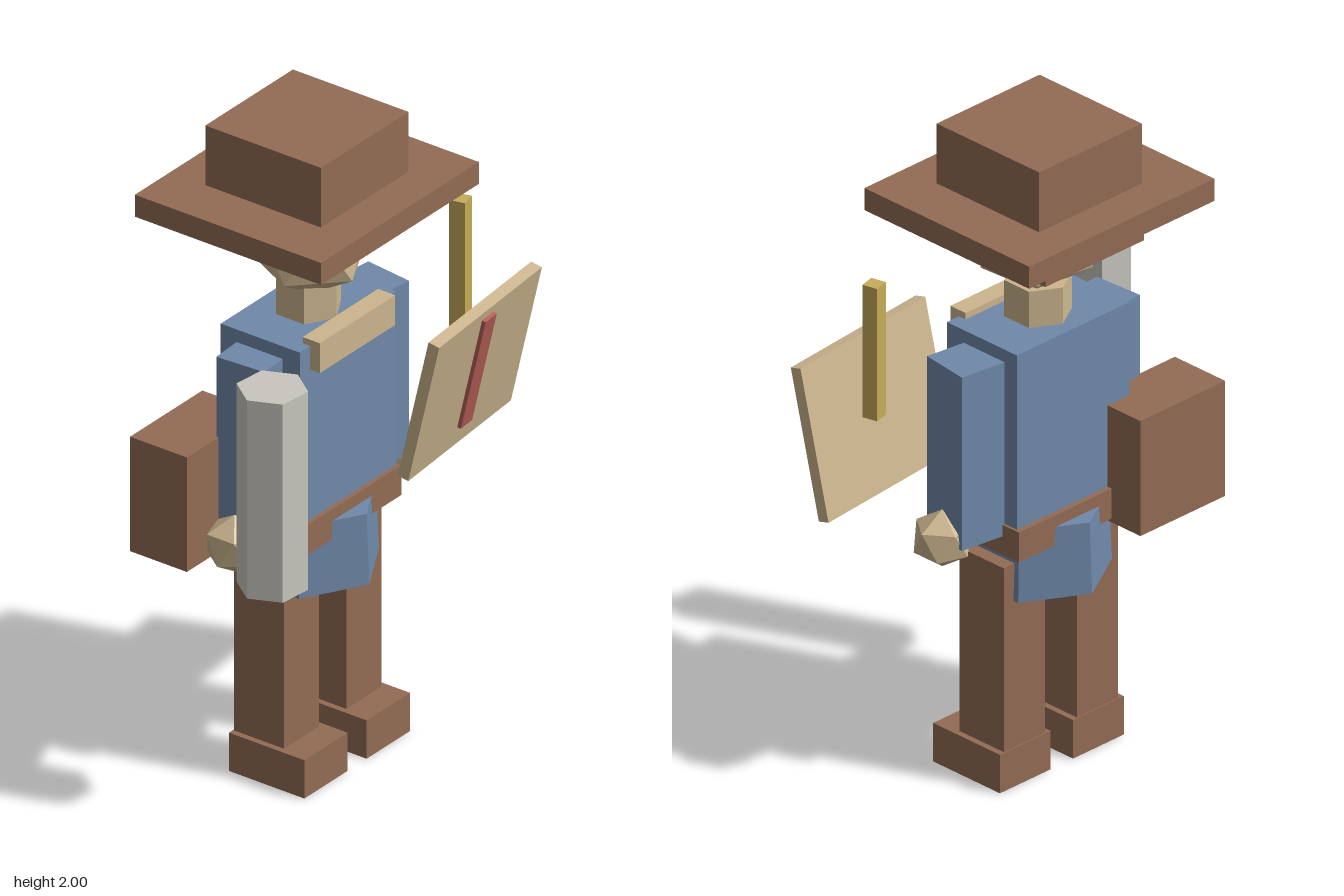
import * as THREE from 'three';

const mat = (name, color) => {
  const m = new THREE.MeshStandardMaterial({ color, flatShading: true });
  m.name = name;
  return m;
};

export function createModel() {
  const brown = mat('leather brown', 0x936c54);
  const blue = mat('cloth blue', 0x6f89aa);
  const tan = mat('tan', 0xcdb68f);
  const grey = mat('pale grey', 0xc8c6be);
  const yellow = mat('straw yellow', 0xc6ad5a);
  const red = mat('red', 0xb55f58);

  const model = new THREE.Group();
  model.name = 'figure';

  const add = (name, geometry, material, x, y, z, parent = model) => {
    const mesh = new THREE.Mesh(geometry, material);
    mesh.name = name;
    mesh.position.set(x, y, z);
    parent.add(mesh);
    return mesh;
  };
  // box given by its limits on each axis
  const box = (name, material, x0, x1, y0, y1, z0, z1) =>
    add(name, new THREE.BoxGeometry(x1 - x0, y1 - y0, z1 - z0), material,
      (x0 + x1) / 2, (y0 + y1) / 2, (z0 + z1) / 2);
  // six-sided prism or cone between two heights
  const prism = (name, material, rTop, rBottom, x, z, y0, y1) =>
    add(name, new THREE.CylinderGeometry(rTop, rBottom, y1 - y0, 6), material, x, (y0 + y1) / 2, z);
  // icosahedron standing on one of its corners
  const ball = (name, material, r, x, y, z) =>
    add(name, new THREE.IcosahedronGeometry(r, 0).rotateZ(-0.5536), material, x, y, z);

  // hat and hair
  box('hatBrim', brown, -0.426, 0.304, 1.74, 1.81, -0.353, 0.298);
  box('hatCrown', brown, -0.263, 0.142, 1.81, 2.0, -0.23, 0.175);
  box('hair', brown, -0.254, 0.135, 1.64, 1.74, -0.247, 0.061);

  // head, eyes and neck
  ball('head', tan, 0.183, -0.071, 1.64, -0.005).rotation.y = 0.17;
  for (const x of [-0.139, 0.015]) box('eye', blue, x - 0.02, x + 0.02, 1.64, 1.68, 0.156, 0.176);
  prism('neck', tan, 0.098, 0.098, -0.061, -0.022, 1.38, 1.515);

  // body
  box('torso', blue, -0.283, 0.161, 0.81, 1.4, -0.161, 0.116);
  box('collar', tan, -0.235, 0.113, 1.325, 1.42, 0.09, 0.15);
  box('belt', brown, -0.296, 0.169, 0.752, 0.847, -0.177, 0.13);
  prism('hips', blue, 0.204, 0.2135, -0.061, -0.022, 0.588, 0.81);

  // arms and hands
  const arm = new THREE.BoxGeometry(0.16, 0.55, 0.16);
  add('leftArm', arm, blue, 0.22, 1.085, -0.024).rotation.y = -0.13;
  add('rightArm', arm, blue, -0.3, 1.085, -0.024).rotation.y = 0.06;
  ball('leftHand', tan, 0.09, 0.3, 0.815, -0.005);
  ball('rightHand', tan, 0.09, -0.425, 0.815, -0.005);

  // legs and boots
  for (const [side, x] of [['right', -0.207], ['left', 0.081]]) {
    box(side + 'Leg', brown, x - 0.081, x + 0.081, 0.12, 0.705, -0.11, 0.065);
    box(side + 'Boot', brown, x - 0.1, x + 0.1, 0, 0.122, -0.114, 0.15);
  }

  // satchel at the back of the right hip
  box('satchel', brown, -0.53, -0.196, 0.74, 1.105, -0.291, -0.092);

  // grey six-sided canister by the right hand
  prism('canister', grey, 0.103, 0.103, -0.489, 0.176, 0.768, 1.4).rotation.y = 0.41;

  // tilted board with a red strip
  const board = new THREE.Group();
  board.name = 'board';
  board.position.set(0.312, 1.126, 0.26);
  board.rotation.set(0.22, 0.097, 0, 'YXZ');
  model.add(board);
  add('boardPanel', new THREE.BoxGeometry(0.547, 0.465, 0.036), tan, 0, 0, 0, board);
  add('boardStrip', new THREE.BoxGeometry(0.06, 0.372, 0.012), red, -0.006, 0.02, 0.024, board);

  // upright stick beside the board
  add('stick', new THREE.BoxGeometry(0.048, 0.42, 0.048), yellow, 0.408, 1.392, 0.155).rotation.y = 0.23;

  return model;
}
